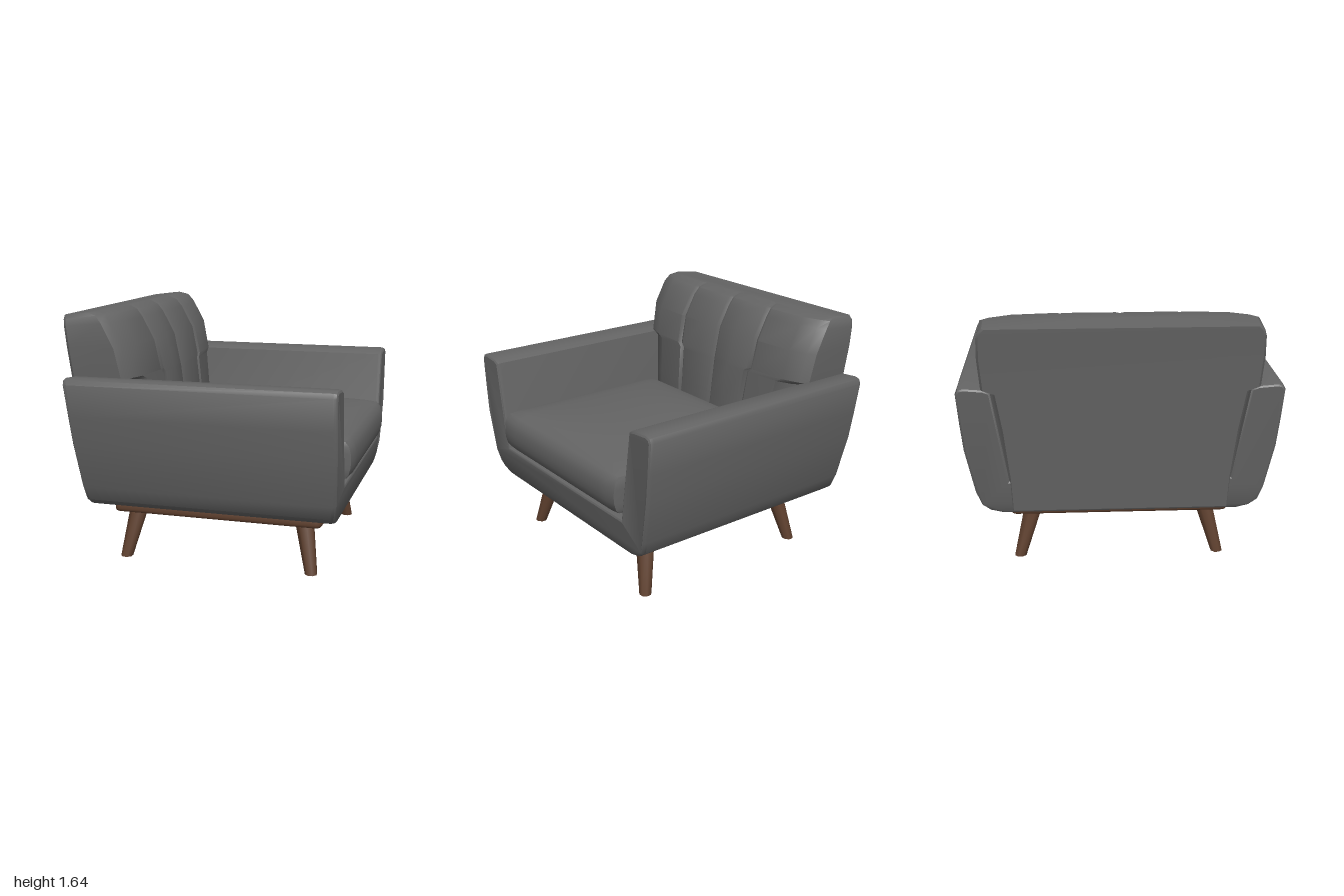
import * as THREE from 'three';
import { toCreasedNormals } from 'three/addons/utils/BufferGeometryUtils.js';

const clamp = THREE.MathUtils.clamp;

// x of the leaning rear plane at height y
const rearX = (y) => -0.77 - 0.108 * (y - 0.38);

// Move every vertex by a rule
function bend(geo, rule) {
  const p = geo.attributes.position, v = new THREE.Vector3();
  for (let i = 0; i < p.count; i++) {
    v.fromBufferAttribute(p, i);
    rule(v);
    p.setXYZ(i, v.x, v.y, v.z);
  }
  return geo;
}

// U-shaped shell: arms and base in one section, swept from rear to front
function shellGeometry() {
  const half = [
    [0.74, 0.38], [0.82, 0.4], [0.875, 0.44], [0.91, 0.53], [0.968, 0.82],
    [0.985, 1.0], [1.0, 1.2], [0.985, 1.23], [0.95, 1.24], [0.83, 1.23], [0.785, 1.21], [0.692, 0.61],
  ];
  const outline = [...half, ...half.map(([z, y]) => [-z, y]).reverse()];
  const shape = new THREE.Shape(outline.map(([z, y]) => new THREE.Vector2(z, y)));
  const geo = new THREE.ExtrudeGeometry(shape, {
    depth: 1.6, bevelEnabled: true, bevelThickness: 0.025, bevelSize: 0.015, bevelOffset: -0.015, bevelSegments: 2,
  });
  geo.rotateY(Math.PI / 2);
  bend(geo, (v) => {
    const t = (v.x + 0.025) / 1.65;
    const front = 0.825 + 0.037 * clamp((v.y - 0.38) / 0.22, 0, 1);
    v.x = THREE.MathUtils.lerp(rearX(v.y), front, t);
  });
  return toCreasedNormals(geo, 0.6);
}

// Backrest: rings stacked in height, with three shallow tufted creases in front
function backGeometry() {
  // height, front x, half width
  const rows = [
    [0.4, -0.4, 0.69], [0.62, -0.38, 0.7], [0.95, -0.395, 0.735], [1.2, -0.425, 0.775], [1.225, -0.43, 0.845],
    [1.42, -0.47, 0.86], [1.57, -0.55, 0.857], [1.62, -0.59, 0.845], [1.645, -0.65, 0.82],
  ];
  const side = [0.03, 0.2, 0.42, 0.45, 0.48, 0.8, 0.94, 1];
  const cols = [...side.map((u) => -u).reverse(), 0, ...side];
  const pos = [], idx = [];
  const n = cols.length + 4;
  const put = (x, y, z) => {
    const drop = 0.032 * clamp((-0.65 - x) / 0.25, 0, 1) * clamp((y - 1.5) / 0.1, 0, 1);
    pos.push(x, y - drop, z);
  };
  for (const [y, xf, w] of rows) {
    const xb = rearX(y) - 0.007;
    for (const u of cols) {
      const a = Math.abs(u);
      const round = a === 1 ? 0.1 : a > 0.9 ? 0.06 : a > 0.7 ? 0.02 : 0;
      const crease = y > 0.9 && (a === 0 || a === 0.45) ? 0.015 : 0;
      put(xf - round - crease, y, u * w);
    }
    put(xb + 0.02, y, w);
    put(xb, y, w - 0.015);
    put(xb, y, -w + 0.015);
    put(xb + 0.02, y, -w);
  }
  for (let j = 0; j < rows.length - 1; j++) {
    for (let i = 0; i < n; i++) {
      const a = j * n + i, b = j * n + (i + 1) % n;
      idx.push(a, a + n, b, b, a + n, b + n);
    }
  }
  // caps
  const last = (rows.length - 1) * n, low = pos.length / 3;
  put(-0.6, 0.4, 0);
  put(-0.75, 1.645, 0);
  for (let i = 0; i < n; i++) {
    const k = (i + 1) % n;
    idx.push(low, i, k, low + 1, last + k, last + i);
  }
  const geo = new THREE.BufferGeometry();
  geo.setAttribute('position', new THREE.Float32BufferAttribute(pos, 3));
  geo.setIndex(idx);
  return toCreasedNormals(geo, 0.6);
}

// Seat cushion: softened box with a crowned top and a bulging front
function cushionGeometry() {
  const hx = 0.635, hy = 0.135, hz = 0.68, r = 0.04;
  const geo = new THREE.BoxGeometry(hx * 2, hy * 2, hz * 2, 16, 6, 16);
  bend(geo, (v) => {
    const u = v.x / hx, t = v.y / hy, w = v.z / hz;
    const core = new THREE.Vector3(
      clamp(v.x, -hx + r, hx - r), clamp(v.y, -hy + r, hy - r), clamp(v.z, -hz + r, hz - r));
    const off = v.clone().sub(core);
    if (off.lengthSq() > 0) v.copy(core).addScaledVector(off.normalize(), r);
    if (t > 0) v.y += 0.06 * t * (1 - u ** 4) * (1 - w * w);
    if (u > 0.5) v.x += 0.035 * (1 - t * t) * (u - 0.5) * 2;
    v.x += 0.235;
    v.y += 0.757;
  });
  return toCreasedNormals(geo, 0.7);
}

// Rounded rectangle traced into a shape or hole
function roundedRect(path, x0, x1, z, r) {
  path.moveTo(x0 + r, -z);
  path.lineTo(x1 - r, -z);
  path.quadraticCurveTo(x1, -z, x1, -z + r);
  path.lineTo(x1, z - r);
  path.quadraticCurveTo(x1, z, x1 - r, z);
  path.lineTo(x0 + r, z);
  path.quadraticCurveTo(x0, z, x0, z - r);
  path.lineTo(x0, -z + r);
  path.quadraticCurveTo(x0, -z, x0 + r, -z);
  return path;
}

// Wooden frame under the base
function frameGeometry() {
  const shape = roundedRect(new THREE.Shape(), -0.665, 0.72, 0.705, 0.05);
  shape.holes.push(roundedRect(new THREE.Path(), -0.595, 0.65, 0.635, 0.02));
  const geo = new THREE.ExtrudeGeometry(shape, {
    depth: 0.022, bevelEnabled: true, bevelThickness: 0.022, bevelSize: 0.02, bevelOffset: -0.02,
    bevelSegments: 3, curveSegments: 5,
  });
  geo.rotateX(Math.PI / 2);
  geo.translate(0, 0.36, 0);
  return toCreasedNormals(geo, 0.8);
}

// Tapered leg, splayed from foot to top
function legGeometry(footX, topX, sideZ) {
  const h = 0.36;
  const geo = new THREE.CylinderGeometry(0.064, 0.04, h, 8);
  geo.rotateY(Math.PI / 8);
  bend(geo, (v) => {
    const t = v.y / h + 0.5;
    v.x += THREE.MathUtils.lerp(footX, topX, t);
    v.z += sideZ * THREE.MathUtils.lerp(0.65, 0.55, t);
    v.y += h / 2;
  });
  return toCreasedNormals(geo, 0.9);
}

export function createModel() {
  const fabric = new THREE.MeshStandardMaterial({ color: 0x646464 });
  fabric.name = 'grey fabric';
  const wood = new THREE.MeshStandardMaterial({ color: 0x60412f });
  wood.name = 'walnut wood';

  const chair = new THREE.Group();
  chair.name = 'armchair';
  const add = (name, geo, mat) => {
    const mesh = new THREE.Mesh(geo, mat);
    mesh.name = name;
    chair.add(mesh);
  };

  add('armsAndBase', shellGeometry(), fabric);
  add('backrest', backGeometry(), fabric);
  add('seatCushion', cushionGeometry(), fabric);
  add('woodFrame', frameGeometry(), wood);
  for (const s of [1, -1]) {
    const label = s > 0 ? 'PositiveZ' : 'NegativeZ';
    add('frontLeg' + label, legGeometry(0.652, 0.578, s), wood);
    add('rearLeg' + label, legGeometry(-0.6, -0.53, s), wood);
  }
  return chair;
}
